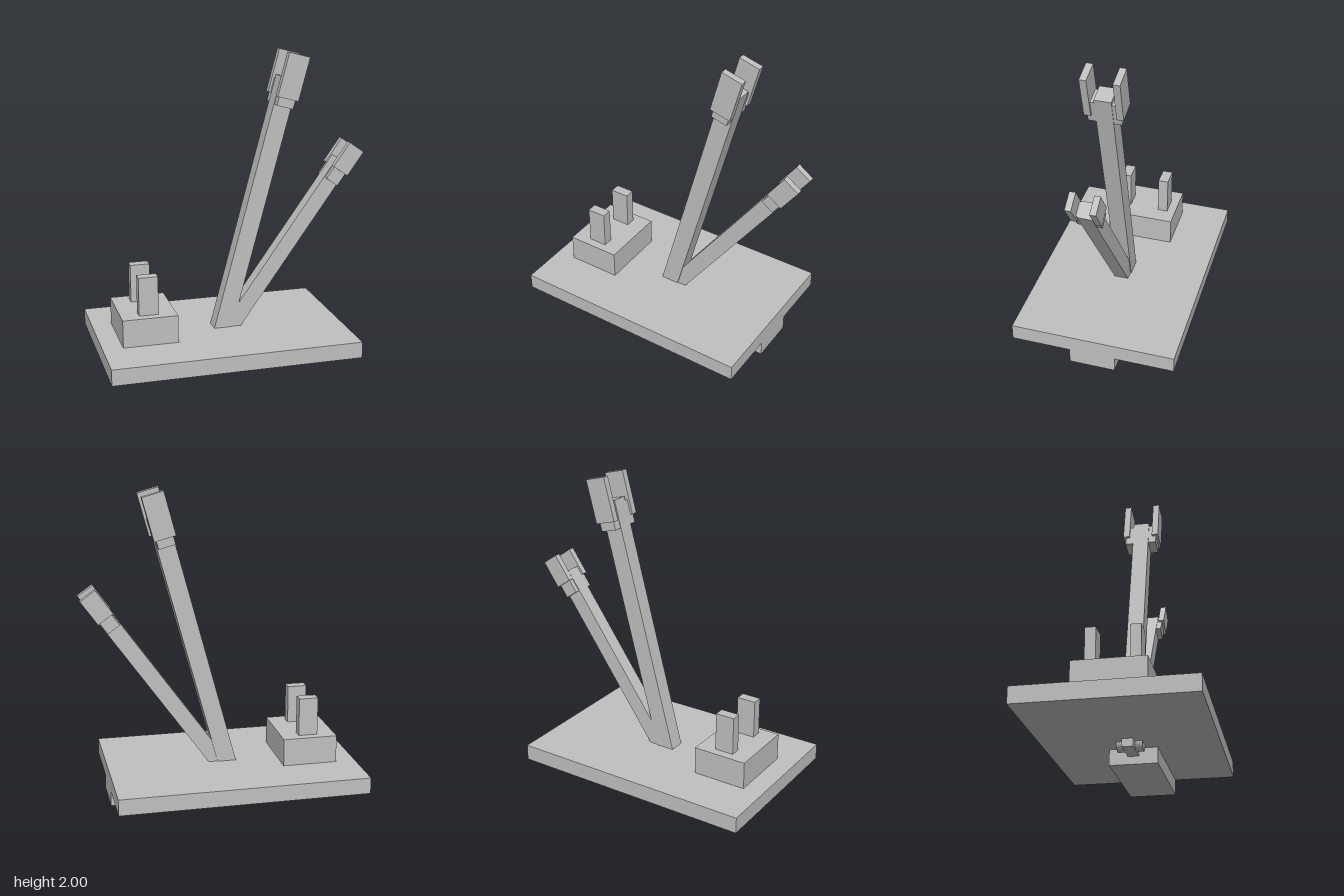
import * as THREE from 'three';

export function createModel() {
  const model = new THREE.Group();
  const grey = new THREE.MeshStandardMaterial({ color: 0xc0c0c0 });
  grey.name = 'plain grey';

  const add = (parent, name, geometry) => {
    const mesh = new THREE.Mesh(geometry, grey);
    mesh.name = name;
    parent.add(mesh);
    return mesh;
  };
  // Box given by its limits on each axis
  const box = (parent, name, [x0, x1], [y0, y1], [z0, z1]) => {
    const mesh = add(parent, name, new THREE.BoxGeometry(x1 - x0, y1 - y0, z1 - z0));
    mesh.position.set((x0 + x1) / 2, (y0 + y1) / 2, (z0 + z1) / 2);
    return mesh;
  };

  // Base plate
  box(model, 'basePlate', [-0.88, 0.725], [0.1, 0.205], [-0.537, 0.537]);

  // Block under the plate, its back strip notched along the top
  box(model, 'underBlock', [0.01, 0.725], [0, 0.1], [-0.06, 0.15]);
  const strip = new THREE.Shape([
    [0.01, 0], [0.725, 0], [0.725, 0.1], [0.28, 0.1],
    [0.28, 0.05], [0.08, 0.05], [0.08, 0.1], [0.01, 0.1],
  ].map(([x, y]) => new THREE.Vector2(x, y)));
  add(model, 'notchedStrip', new THREE.ExtrudeGeometry(strip, { depth: 0.09, bevelEnabled: false }))
    .position.z = -0.15;

  // Pivot below the plate
  box(model, 'pivotBar', [-0.185, 0.01], [0.05, 0.12], [-0.035, 0.035]);
  const pin = add(model, 'pivotPin', new THREE.CylinderGeometry(0.05, 0.05, 0.16, 24));
  pin.rotation.x = Math.PI / 2;
  pin.position.set(-0.08, 0.1, 0);

  // Pedestal with two posts
  box(model, 'pedestal', [-0.75, -0.395], [0.205, 0.385], [-0.223, 0.223]);
  for (const s of [-1, 1]) {
    const z = [0.1 * s, 0.167 * s].sort((a, b) => a - b);
    box(model, 'post', [-0.635, -0.51], [0.385, 0.635], z);
  }

  // Leaning lever with a forked head; the local origin is the head's centre
  function lever(name, o) {
    const group = new THREE.Group();
    group.name = name;
    group.position.set(o.x, o.y, 0);
    group.rotation.z = -THREE.MathUtils.degToRad(o.angle);
    const w = o.width / 2, c = o.collarWidth / 2, h = o.headWidth / 2, l = o.headLength / 2;
    box(group, 'leverArm', [-w, w], [-o.reach, o.armTop], [-o.armZ, o.armZ]);
    box(group, 'collar', [-c, c], o.collarY, [-o.collarZ, o.collarZ]);
    for (const s of [-1, 1]) {
      const z = o.forkZ.map((v) => v * s).sort((a, b) => a - b);
      box(group, 'forkPlate', [-h, h], [-l, l], z);
    }
    model.add(group);
  }

  lever('tallLever', {
    x: 0.384, y: 1.843, angle: 15, width: 0.118, armZ: 0.053, reach: 1.75, armTop: -0.018,
    collarWidth: 0.11, collarY: [-0.198, -0.045], collarZ: 0.105,
    headWidth: 0.141, headLength: 0.284, forkZ: [0.078, 0.121],
  });
  lever('shortLever', {
    x: 0.774, y: 1.291, angle: 35.4, width: 0.104, armZ: 0.047, reach: 1.39, armTop: -0.03,
    collarWidth: 0.092, collarY: [-0.182, -0.03], collarZ: 0.078,
    headWidth: 0.117, headLength: 0.187, forkZ: [0.055, 0.094],
  });

  return model;
}
